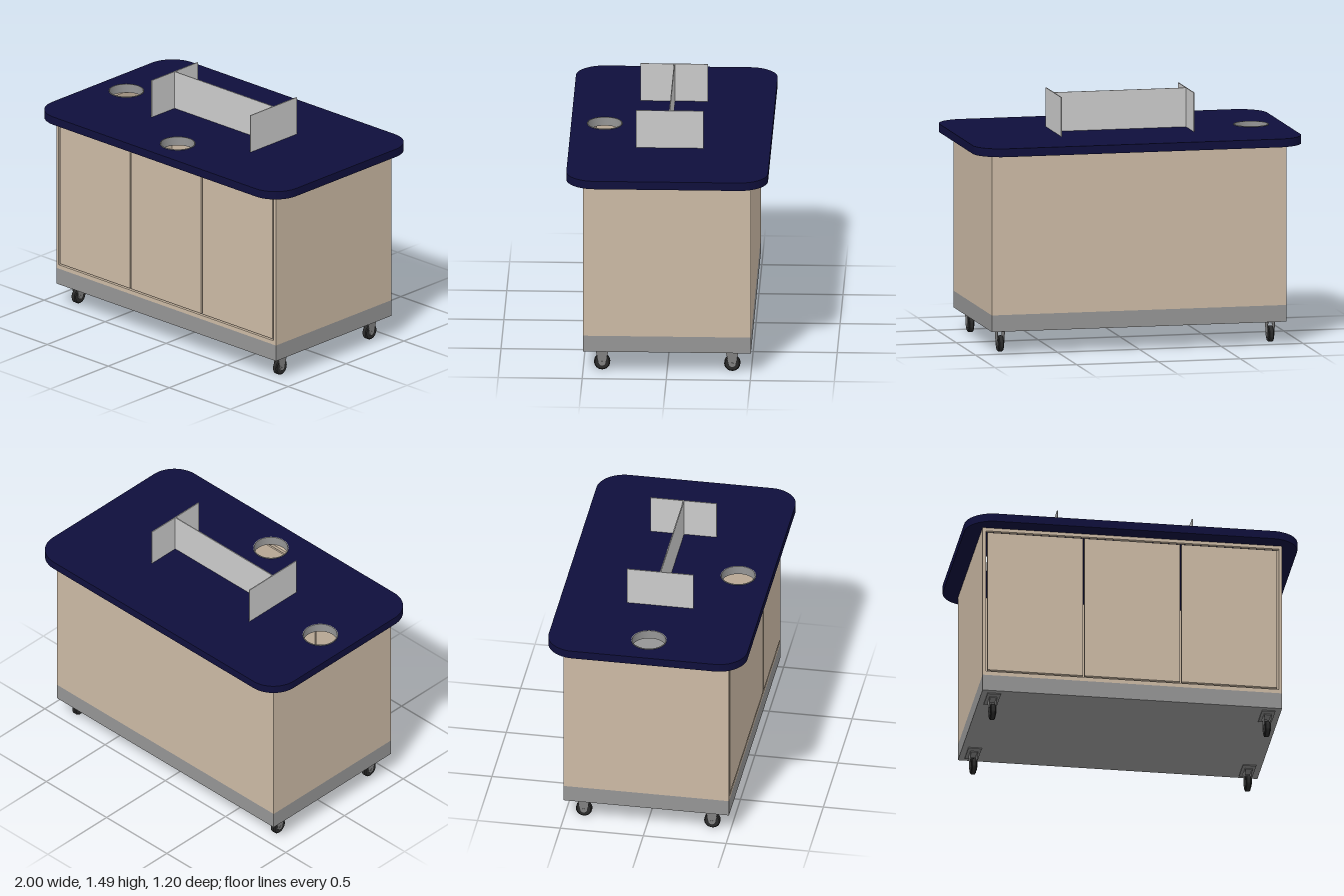
import * as THREE from 'three';
import { toCreasedNormals } from 'three/addons/utils/BufferGeometryUtils.js';

const material = (color) => new THREE.MeshStandardMaterial({ color });
const WOOD = material(0xccbaa5);
const NAVY = material(0x0f0f3c);
const BASE = material(0x959595);
const STEEL = material(0xcccccc);
const RUBBER = material(0x2a2a2a);
const FORK = material(0x808080);

function add(parent, name, geometry, mat, x = 0, y = 0, z = 0) {
  const mesh = new THREE.Mesh(geometry, mat);
  mesh.name = name;
  mesh.position.set(x, y, z);
  parent.add(mesh);
  return mesh;
}

// Box given by its minimum and maximum corners
function addBox(parent, name, mat, [x0, y0, z0], [x1, y1, z1]) {
  const geometry = new THREE.BoxGeometry(x1 - x0, y1 - y0, z1 - z0);
  return add(parent, name, geometry, mat, (x0 + x1) / 2, (y0 + y1) / 2, (z0 + z1) / 2);
}

function rectangle(target, x0, y0, x1, y1) {
  return target.moveTo(x0, y0).lineTo(x1, y0).lineTo(x1, y1).lineTo(x0, y1).closePath();
}

// Hollow cabinet, open at the top, with three doors set into the front
function createCabinet() {
  const cabinet = new THREE.Group();
  cabinet.name = 'cabinet';
  const bottom = 0.235, top = 1.2, wall = 0.02;

  addBox(cabinet, 'backPanel', WOOD, [-0.9, bottom, -0.5], [0.9, top, -0.5 + wall]);
  for (const [name, x] of [['leftPanel', 0.9 - wall], ['rightPanel', -0.9]]) {
    addBox(cabinet, name, WOOD, [x, bottom, -0.5 + wall], [x + wall, top, 0.5 - wall]);
  }

  const frame = rectangle(new THREE.Shape(), -0.9, bottom, 0.9, top);
  frame.holes.push(rectangle(new THREE.Path(), -0.88, 0.26, 0.88, 1.18));
  const frameGeometry = new THREE.ExtrudeGeometry(frame, { depth: wall, bevelEnabled: false });
  add(cabinet, 'frontFrame', frameGeometry, WOOD, 0, 0, 0.5 - wall);

  const gap = 0.01, doorWidth = (1.76 - 4 * gap) / 3;
  for (let i = 0; i < 3; i++) {
    const x = -0.88 + gap + i * (doorWidth + gap);
    addBox(cabinet, 'door', WOOD, [x, 0.27, 0.5 - wall], [x + doorWidth, 1.17, 0.5]);
  }
  return cabinet;
}

// Rounded worktop with two round openings, each lined with a thin ring
function createWorktop() {
  const worktop = new THREE.Group();
  worktop.name = 'worktop';
  const w = 1, d = 0.6, r = 0.17;
  const openings = [[-0.8, 0], [0, 0.4]];

  const outline = new THREE.Shape();
  outline.absarc(w - r, d - r, r, 0, Math.PI / 2);
  outline.absarc(-w + r, d - r, r, Math.PI / 2, Math.PI);
  outline.absarc(-w + r, -d + r, r, Math.PI, Math.PI * 1.5);
  outline.absarc(w - r, -d + r, r, Math.PI * 1.5, Math.PI * 2);
  outline.closePath();
  for (const [x, z] of openings) {
    outline.holes.push(new THREE.Path().absarc(x, -z, 0.102, 0, Math.PI * 2, true));
  }
  const slab = new THREE.ExtrudeGeometry(outline, { depth: 0.05, bevelEnabled: false, curveSegments: 20 });
  slab.rotateX(-Math.PI / 2);
  add(worktop, 'slab', toCreasedNormals(slab, 0.6), NAVY, 0, 1.2, 0);

  const profile = [
    [0.1, 0], [0.102, 0], [0.102, 0.05], [0.105, 0.05], [0.105, 0.054], [0.1, 0.054], [0.1, 0],
  ].map(([x, y]) => new THREE.Vector2(x, y));
  const ring = toCreasedNormals(new THREE.LatheGeometry(profile, 48), 0.6);
  for (const [x, z] of openings) add(worktop, 'openingRing', ring, BASE, x, 1.2, z);
  return worktop;
}

// Upright divider: one long sheet between two end sheets
function createDivider() {
  const divider = new THREE.Group();
  divider.name = 'divider';
  addBox(divider, 'longSheet', STEEL, [-0.402, 1.25, -0.003], [0.402, 1.485, 0.003]);
  for (const side of [-1, 1]) {
    const x = side * 0.405;
    addBox(divider, 'endSheet', STEEL, [x - 0.003, 1.25, -0.2], [x + 0.003, 1.485, 0.2]);
  }
  return divider;
}

// Caster wheel with mounting plate and two tapered fork cheeks
function createCaster() {
  const caster = new THREE.Group();
  caster.name = 'caster';
  const axleY = 0.048;
  addBox(caster, 'mountingPlate', FORK, [-0.04, 0.129, -0.078], [0.04, 0.135, 0.078]);
  addBox(caster, 'forkCrown', FORK, [-0.022, 0.124, -0.038], [0.022, 0.129, 0.038]);

  const tyreProfile = [
    [0.02, -0.016], [0.042, -0.016], [0.048, -0.011], [0.048, 0.011], [0.042, 0.016], [0.02, 0.016],
  ].map(([x, y]) => new THREE.Vector2(x, y));
  const tyre = toCreasedNormals(new THREE.LatheGeometry(tyreProfile, 32), 0.6).rotateZ(Math.PI / 2);
  add(caster, 'tyre', tyre, RUBBER, 0, axleY, 0);
  const hub = new THREE.CylinderGeometry(0.021, 0.021, 0.034, 24).rotateZ(Math.PI / 2);
  add(caster, 'hub', hub, FORK, 0, axleY, 0);
  const axle = new THREE.CylinderGeometry(0.008, 0.008, 0.048, 16).rotateZ(Math.PI / 2);
  add(caster, 'axle', axle, FORK, 0, axleY, 0);

  const cheek = new THREE.Shape();
  cheek.moveTo(0.04, 0.129).lineTo(-0.04, 0.129);
  cheek.absarc(0, axleY, 0.02, Math.PI, Math.PI * 2);
  cheek.closePath();
  const cheekGeometry = new THREE.ExtrudeGeometry(cheek, { depth: 0.003, bevelEnabled: false });
  cheekGeometry.translate(0, 0, -0.0015).rotateY(Math.PI / 2);
  for (const side of [-1, 1]) add(caster, 'forkCheek', cheekGeometry, FORK, side * 0.0205, 0, 0);
  return caster;
}

export function createModel() {
  const model = new THREE.Group();
  model.name = 'servingCart';
  addBox(model, 'base', BASE, [-0.9, 0.135, -0.5], [0.9, 0.235, 0.5]);
  model.add(createCabinet(), createWorktop(), createDivider());
  for (const x of [-0.825, 0.825]) {
    for (const z of [-0.387, 0.387]) {
      const caster = createCaster();
      caster.position.set(x, 0, z);
      model.add(caster);
    }
  }
  return model;
}
